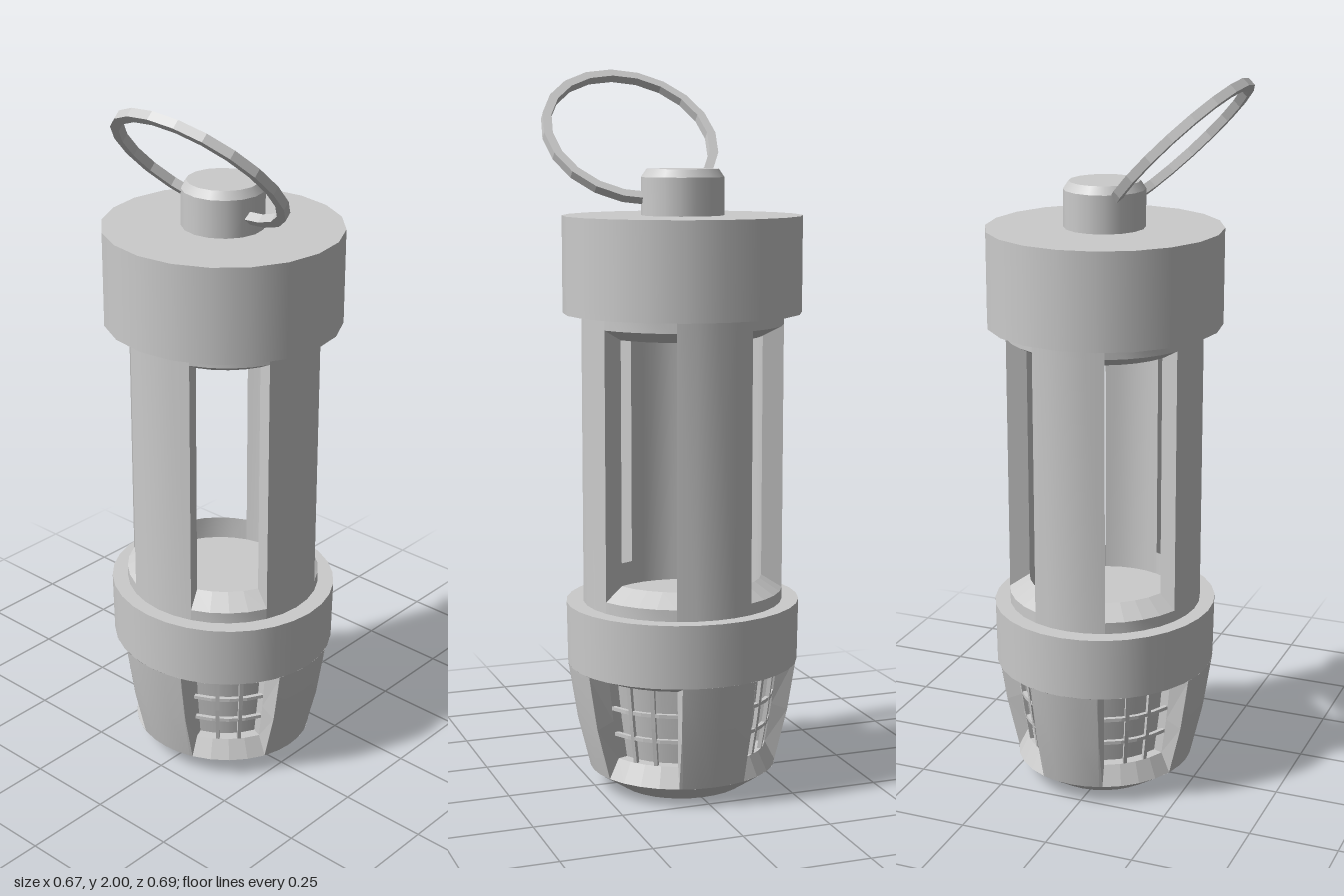
import * as THREE from 'three';
import { mergeGeometries } from 'three/addons/utils/BufferGeometryUtils.js';

const DEG = Math.PI / 180;
const QUARTERS = [45, 135, 225, 315];

function makeMesh(name, geos, flat = false) {
  const mat = new THREE.MeshStandardMaterial({ color: 0xcccccc, side: THREE.DoubleSide, flatShading: flat });
  const mesh = new THREE.Mesh(geos.length > 1 ? mergeGeometries(geos) : geos[0], mat);
  mesh.name = name;
  return mesh;
}

// Surface through rows of cylindrical points [radius, degrees, y]
function sheet(rows) {
  const pos = [], index = [], n = rows[0].length;
  rows.flat().forEach(([r, a, y]) => pos.push(r * Math.sin(a * DEG), y, r * Math.cos(a * DEG)));
  for (let i = 0; i < rows.length - 1; i++)
    for (let j = 0; j < n - 1; j++) {
      const a = i * n + j, b = a + n;
      index.push(a, a + 1, b, b, a + 1, b + 1);
    }
  const g = new THREE.BufferGeometry();
  g.setAttribute('position', new THREE.Float32BufferAttribute(pos, 3));
  g.setIndex(index);
  g.computeVertexNormals();
  return g;
}

// Arc of points at one height, centred on angle c with half-angle h
const arc = (r, y, c, h, n = 4) =>
  Array.from({ length: n + 1 }, (_, i) => [r, c + h * (2 * i / n - 1), y]);
// Curved wall following a profile of [radius, y]
const wall = (profile, c, h, n = 4) => sheet(profile.map(([r, y]) => arc(r, y, c, h, n)));
// Window reveal: frames of { p: [[radius, y] bottom to top], h: half-angles } from outside inwards
function reveal(c, frames) {
  const end = k => sheet(frames.map(f => {
    const i = k ? f.p.length - 1 : 0;
    return arc(f.p[i][0], f.p[i][1], c, f.h[i]);
  }));
  const side = s => sheet(frames.map(f => f.p.map(([r, y], i) => [r, c + s * f.h[i], y])));
  return [end(0), end(1), side(-1), side(1)];
}

const lathe = (pts, n = 32) => new THREE.LatheGeometry(pts.map(p => new THREE.Vector2(...p)), n);
const cylinder = (rTop, rBottom, y0, y1, n) =>
  new THREE.CylinderGeometry(rTop, rBottom, y1 - y0, n).translate(0, (y0 + y1) / 2, 0);

// Hollow tube with four tall bevelled windows
function buildTube() {
  const g = new THREE.Group();
  g.name = 'windowTube';
  const R = 0.28, r = 0.222, y0 = 0.53, y1 = 1.335;
  const outer = [], inner = [], frames = [];
  for (const c of QUARTERS) {
    outer.push(wall([[R, y0], [R, y1]], c + 45, 22.5),
      wall([[R, y0], [R, 0.562]], c, 22.5), wall([[R, 1.303], [R, y1]], c, 22.5));
    inner.push(wall([[r, y0], [r, y1]], c + 45, 22),
      wall([[r, y0], [r, 0.597]], c, 23), wall([[r, 1.273], [r, y1]], c, 23));
    frames.push(...reveal(c, [
      { p: [[R, 0.562], [R, 1.303]], h: [22.5, 22.5] },
      { p: [[r, 0.597], [r, 1.273]], h: [23, 23] }]));
  }
  g.add(makeMesh('tubeOuterWall', outer), makeMesh('tubeInnerWall', inner), makeMesh('tubeWindowFrames', frames, true));
  g.scale.z = 0.965;
  return g;
}

// Tapered base cup with four recessed grille windows
function buildCup() {
  const g = new THREE.Group();
  g.name = 'baseCup';
  const side = [[0.264, 0.055], [0.3, 0.2], [0.325, 0.355]];
  const front = [[0.236, 0.11], [0.254, 0.22], [0.268, 0.332]];
  const back = front.map(([r, y]) => [r - 0.03, y]);
  const posts = [], frames = [], panels = [], bars = [];
  for (const c of QUARTERS) {
    posts.push(wall(side, c + 45, 19));
    frames.push(...reveal(c, [
      { p: side, h: [24, 25.5, 26.5] },
      { p: front, h: [23, 23, 23] },
      { p: back, h: [23, 23, 23] }]));
    panels.push(wall(back, c, 23));
    // post edges meet the slightly narrower window openings
    for (const s of [-1, 1])
      posts.push(sheet(side.map(([r, y], i) => [[r, c + s * 26, y], [r, c + s * [24, 25.5, 26.5][i], y]])));
    // upright bars
    for (const a of [c - 7.7, c + 7.7])
      bars.push(sheet(front.map(([r, y]) =>
        [[r - 0.012, a - 1.3, y], [r, a - 1.3, y], [r, a + 1.3, y], [r - 0.012, a + 1.3, y], [r - 0.012, a - 1.3, y]])));
    // cross bars
    for (const [r, y] of [[0.248, 0.183], [0.259, 0.258]])
      bars.push(wall([[r - 0.012, y - 0.005], [r, y - 0.005], [r, y + 0.005], [r - 0.012, y + 0.005], [r - 0.012, y - 0.005]], c, 23));
  }
  g.add(makeMesh('cupPosts', posts), makeMesh('cupWindowFrames', frames, true),
    makeMesh('grilleBackPanels', panels), makeMesh('grilleBars', bars, true),
    makeMesh('cupBand', [lathe([[0.325, 0.355], [0.328, 0.53]])]),
    makeMesh('cupTop', [lathe([[0.328, 0.53], [0, 0.53]])]),
    makeMesh('cupFoot', [lathe([[0, 0.02], [0.127, 0.02], [0.15, 0], [0.18, 0], [0.264, 0.055]])], true));
  g.scale.z = 0.95;
  return g;
}

export function createModel() {
  const model = new THREE.Group();
  model.name = 'lantern';

  const body = new THREE.Group();
  body.name = 'body';
  body.position.set(-0.005, 0, -0.024);

  const cap = makeMesh('topCap', [cylinder(0.33, 0.33, 1.335, 1.6, 20)]);
  cap.scale.z = 0.98;
  const knob = makeMesh('topKnob', [
    cylinder(0.114, 0.114, 1.59, 1.703, 16),
    cylinder(0.099, 0.114, 1.703, 1.725, 16)]);
  knob.scale.z = 0.975;
  body.add(buildTube(), buildCup(), cap, knob);

  // Square-section carrying ring leaning forward through the knob
  const t = 0.0125, ro = 0.251, ri = 0.226;
  const ring = makeMesh('carryRing', [lathe([[ro, -t], [ro, t], [ri, t], [ri, -t], [ro, -t]], 20)], true);
  ring.rotation.x = -Math.PI / 4;
  ring.position.set(0.083, 1.814, 0.16);

  model.add(body, ring);
  return model;
}
